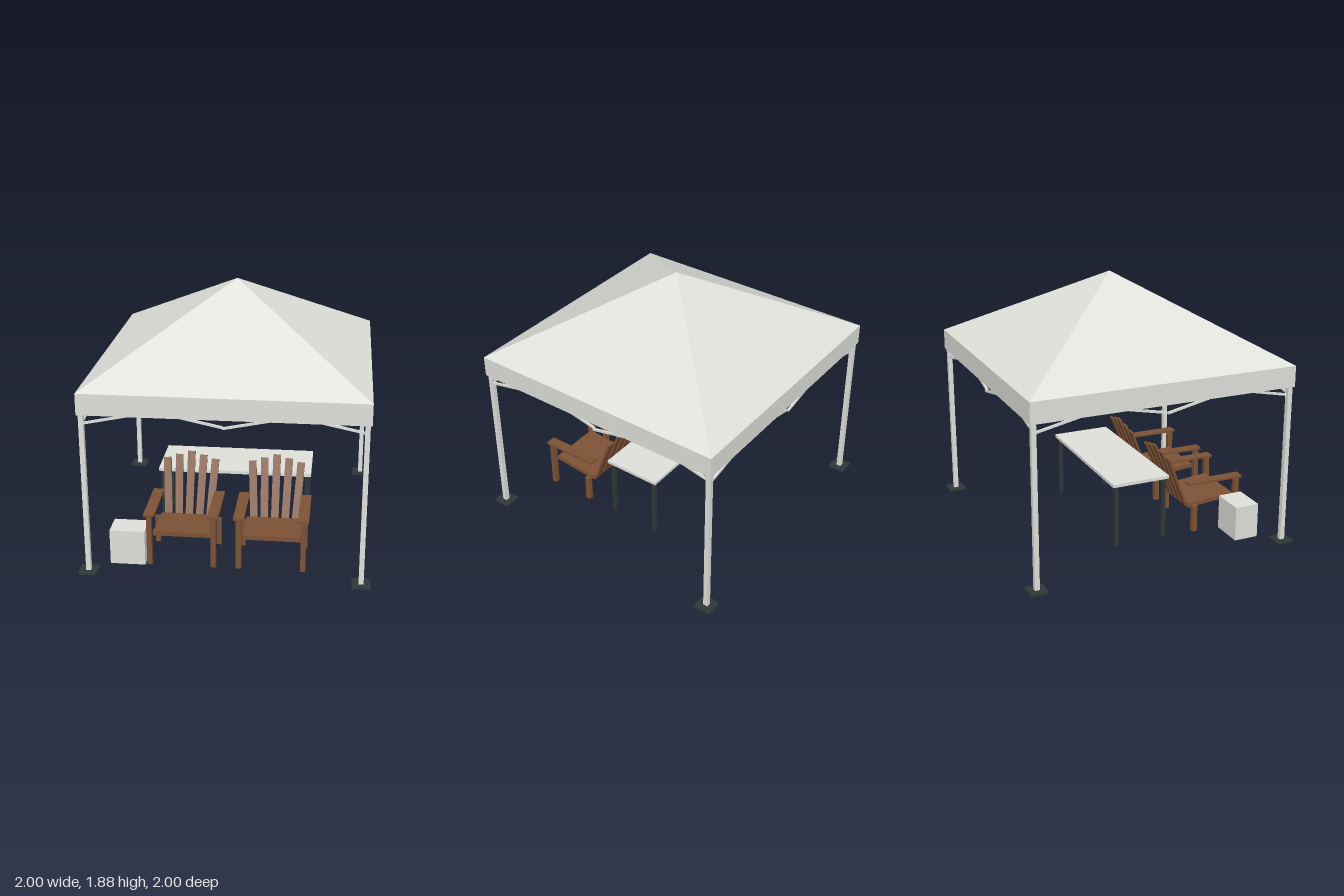
import * as THREE from 'three';

const mat = (name, color, side = THREE.FrontSide) => {
  const m = new THREE.MeshStandardMaterial({ color, side });
  m.name = name;
  return m;
};

export function createModel() {
  const fabric = mat('pale fabric', 0xdfe0da, THREE.DoubleSide);
  fabric.flatShading = true;
  const wood = mat('brown wood', 0x7d5236);
  const dark = mat('dark slate', 0x2f3838);
  const root = new THREE.Group();
  root.name = 'gardenShelter';

  const add = (parent, name, geo, material, x = 0, y = 0, z = 0) => {
    const m = new THREE.Mesh(geo, material);
    m.name = name;
    m.position.set(x, y, z);
    parent.add(m);
    return m;
  };
  // Box given by its minimum and maximum corners
  const box = (parent, name, material, [x0, y0, z0], [x1, y1, z1]) =>
    add(parent, name, new THREE.BoxGeometry(x1 - x0, y1 - y0, z1 - z0), material,
      (x0 + x1) / 2, (y0 + y1) / 2, (z0 + z1) / 2);

  // Canopy: pyramid roof with flat ceiling, and a hanging valance
  const EAVE = 1.315, R = 0.965 * Math.SQRT2;
  const canopy = new THREE.Group();
  canopy.name = 'canopy';
  root.add(canopy);
  add(canopy, 'roof', new THREE.ConeGeometry(R, 0.56, 4).rotateY(Math.PI / 4), fabric, 0, EAVE + 0.28, 0);
  add(canopy, 'valance', new THREE.CylinderGeometry(R, R, 0.15, 4, 1, true).rotateY(Math.PI / 4),
    fabric, 0, EAVE - 0.075, 0);

  // Corner posts on square feet
  const P = 0.937;
  for (const x of [-P, P]) for (const z of [-P, P]) {
    box(root, 'post', fabric, [x - 0.017, 0.002, z - 0.017], [x + 0.017, EAVE - 0.005, z + 0.017]);
    const plate = new THREE.Shape([[-1, -1], [1, -1], [1, 1], [-1, 1]].map(
      ([a, b]) => new THREE.Vector2(a * 0.063, b * 0.063)));
    plate.holes.push(new THREE.Path().absarc(0, 0, 0.014, 0, Math.PI * 2, true));
    const geo = new THREE.ExtrudeGeometry(plate, { depth: 0.014, bevelEnabled: false }).rotateX(-Math.PI / 2);
    add(root, 'postFoot', geo, dark, x, 0, z);
  }

  // Scissor trusses: two crossing pairs along every side
  for (let s = 0; s < 4; s++) {
    const truss = new THREE.Group();
    truss.name = 'scissorTruss';
    truss.rotation.y = s * Math.PI / 2;
    root.add(truss);
    const run = 0.93, rise = 0.195;
    for (const side of [-1, 1]) for (const dir of [-1, 1]) {
      const bar = add(truss, 'strut', new THREE.BoxGeometry(Math.hypot(run, rise), 0.016, 0.014),
        fabric, side * run / 2, 1.2, P + dir * 0.007);
      bar.rotation.z = dir * Math.atan2(rise, run);
    }
  }

  // Table
  const table = new THREE.Group();
  table.name = 'table';
  root.add(table);
  box(table, 'tableTop', fabric, [-0.56, 0.457, -0.218], [0.56, 0.48, 0.218]);
  for (const x of [-0.53, 0.53]) for (const z of [-0.186, 0.186])
    box(table, 'tableLeg', dark, [x - 0.014, 0, z - 0.014], [x + 0.014, 0.457, z + 0.014]);

  // Storage box
  box(root, 'storageBox', fabric, [-0.812, 0, 0.63], [-0.565, 0.255, 0.812]);

  // Reclined slatted chairs
  const makeChair = (x) => {
    const chair = new THREE.Group();
    chair.name = 'chair';
    chair.position.x = x;
    root.add(chair);

    for (const s of [-1, 1]) {
      const c = s * 0.224;
      box(chair, 'frontLeg', wood, [c - 0.018, 0, 0.762], [c + 0.018, 0.373, 0.8]);
      box(chair, 'backLeg', wood, [c - 0.018, 0, 0.42], [c + 0.018, 0.2, 0.457]);
      const a = s * 0.222;
      box(chair, 'armrest', wood, [a - 0.038, 0.372, 0.376], [a + 0.038, 0.388, 0.81]);
    }

    // Seat slopes down toward the back
    const seat = new THREE.Shape([[0.764, 0.24], [0.764, 0.208], [0.4, 0.176], [0.4, 0.208]].map(
      ([z, y]) => new THREE.Vector2(-z, y)));
    const seatGeo = new THREE.ExtrudeGeometry(seat, { depth: 0.404, bevelEnabled: false })
      .translate(0, 0, -0.202).rotateY(Math.PI / 2);
    add(chair, 'seat', seatGeo, wood);

    // Five slats fanning out from the seat
    const back = new THREE.Group();
    back.name = 'backrest';
    back.position.set(0, 0.185, 0.4);
    back.rotation.x = -0.385;
    chair.add(back);
    for (let i = -2; i <= 2; i++) {
      const len = 0.478 - Math.abs(i) * 0.025;
      const slat = add(back, 'backSlat', new THREE.BoxGeometry(0.055, len, 0.017).translate(0, len / 2, 0),
        wood, i * 0.075);
      slat.rotation.z = -i * 0.031;
    }
  };
  makeChair(-0.312);
  makeChair(0.312);

  return root;
}
